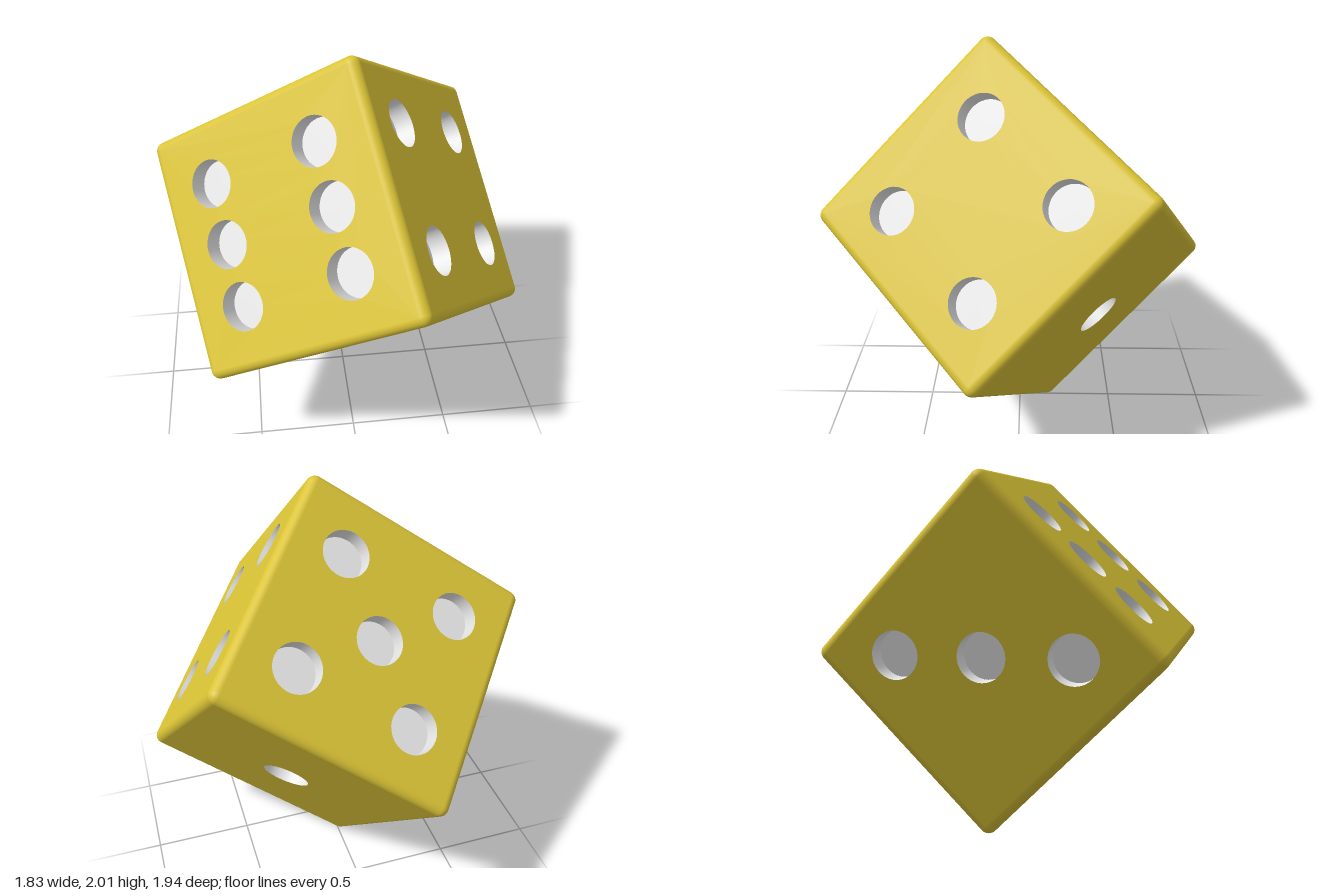
import * as THREE from 'three';

const HALF = 0.605;            // half the cube's side
const R = 0.045;               // edge rounding
const H = HALF - R;            // half the flat part of a face
const Q = 0.303;               // pip spacing
const PIP_R = 0.117, DEPTH = 0.09;

export function createModel() {
  const yellow = new THREE.MeshStandardMaterial({ color: 0xdac336 });
  yellow.name = 'yellow';
  const white = new THREE.MeshStandardMaterial({ color: 0xe7e7e7, side: THREE.DoubleSide });
  white.name = 'pipWhite';

  const model = new THREE.Group();
  model.name = 'die';
  const cube = new THREE.Group();
  cube.name = 'cube';
  model.add(cube);

  const add = (parent, name, geometry, material) => {
    const mesh = new THREE.Mesh(geometry, material);
    mesh.name = name;
    parent.add(mesh);
    return mesh;
  };

  // Recessed pip: round wall and flat floor
  const wallGeo = new THREE.CylinderGeometry(PIP_R, PIP_R, DEPTH, 40, 1, true).rotateX(Math.PI / 2);
  const floorGeo = new THREE.CircleGeometry(PIP_R, 40);

  // Flat face with holes, facing local +z before its rotation
  function addFace(name, pips, rx, ry) {
    const face = new THREE.Group();
    face.name = name;
    face.rotation.set(rx, ry, 0);
    const shape = new THREE.Shape();
    shape.moveTo(-H, -H).lineTo(H, -H).lineTo(H, H).lineTo(-H, H).closePath();
    for (const [u, v] of pips) {
      const hole = new THREE.Path();
      hole.absarc(u * Q, v * Q, PIP_R, 0, Math.PI * 2, true);
      shape.holes.push(hole);
      add(face, 'pipWall', wallGeo, white).position.set(u * Q, v * Q, HALF - DEPTH / 2);
      add(face, 'pipFloor', floorGeo, white).position.set(u * Q, v * Q, HALF - DEPTH);
    }
    add(face, 'facePanel', new THREE.ShapeGeometry(shape, 20), yellow).position.z = HALF;
    cube.add(face);
  }

  const P = Math.PI / 2;
  const four = [[-1, -1], [1, -1], [-1, 1], [1, 1]];
  addFace('faceOne', [[0, 0]], Math.PI, 0);
  addFace('faceTwo', [[-1, -1], [1, 1]], -P, 0);
  addFace('faceThree', [[-1, 1], [0, 0], [1, -1]], 0, P);
  addFace('faceFour', four, 0, -P);
  addFace('faceFive', [...four, [0, 0]], P, 0);
  addFace('faceSix', [...four, [-1, 0], [1, 0]], 0, 0);

  // Rounded edges: four quarter cylinders along each axis
  const edgeGeo = new THREE.CylinderGeometry(R, R, 2 * H, 8, 1, true, 0, P).translate(H, 0, H);
  for (const [rx, rz] of [[0, 0], [P, 0], [0, P]]) {
    const edges = new THREE.Group();
    edges.name = 'edgeSet';
    edges.rotation.set(rx, 0, rz);
    for (let k = 0; k < 4; k++) add(edges, 'roundedEdge', edgeGeo, yellow).rotation.y = k * P;
    cube.add(edges);
  }

  // Rounded corners: sphere octants
  const cornerGeo = new THREE.SphereGeometry(R, 8, 8, 0, P, 0, P).translate(-H, H, H);
  for (const rz of [0, Math.PI]) {
    const corners = new THREE.Group();
    corners.name = 'cornerSet';
    corners.rotation.z = rz;
    for (let k = 0; k < 4; k++) add(corners, 'roundedCorner', cornerGeo, yellow).rotation.y = k * P;
    cube.add(corners);
  }

  // Tumbled pose, balanced on one corner
  const x = new THREE.Vector3(-0.925, -0.6, -0.36).normalize();
  const z = x.clone().cross(new THREE.Vector3(0.215, -0.82, 0.81)).normalize();
  const y = z.clone().cross(x);
  cube.quaternion.setFromRotationMatrix(new THREE.Matrix4().makeBasis(x, y, z));
  cube.position.y = 1;
  return model;
}
